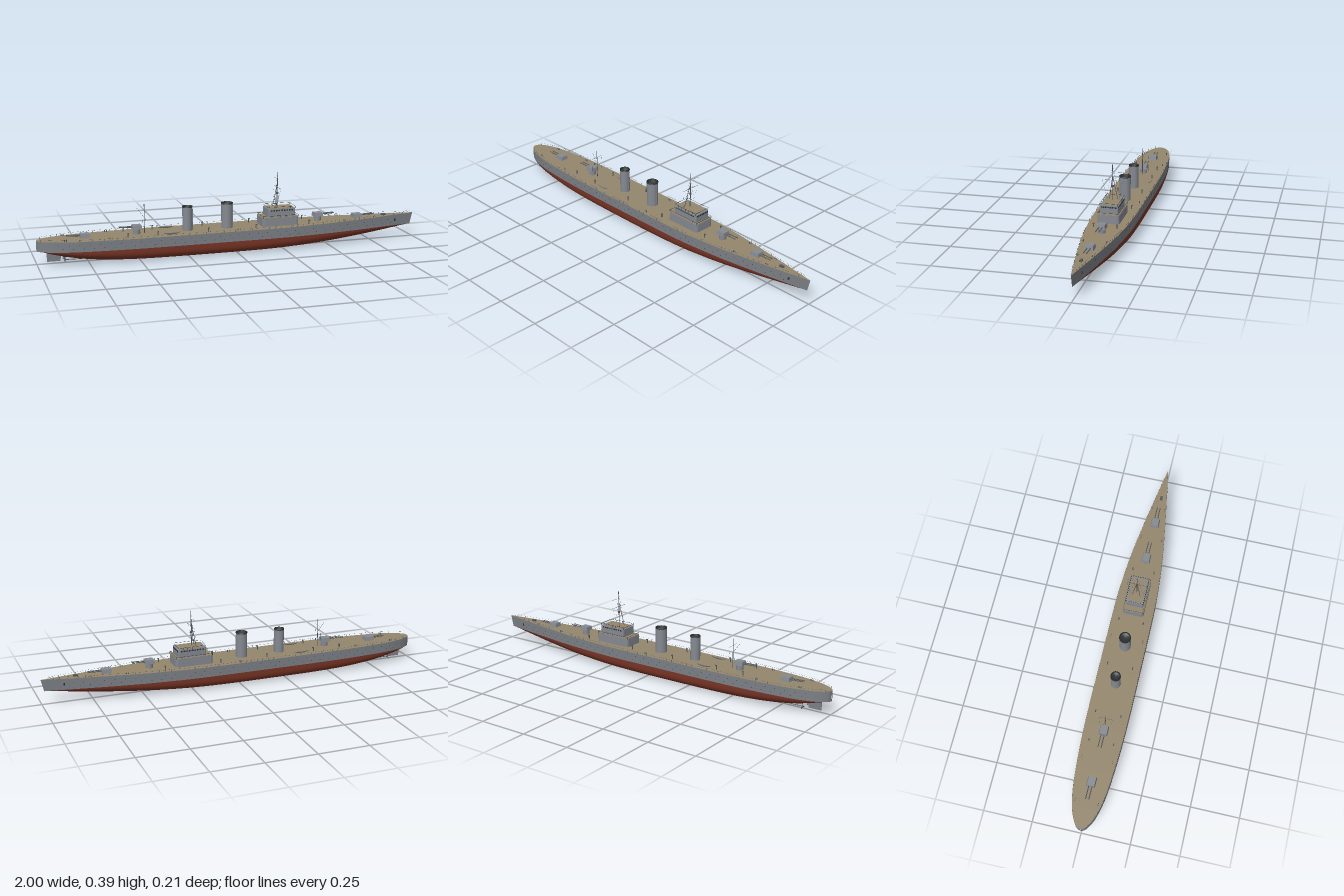
import * as THREE from 'three';
import { mergeGeometries } from 'three/addons/utils/BufferGeometryUtils.js';

const mat = (name, color, side = THREE.FrontSide) => {
  const m = new THREE.MeshStandardMaterial({ color, side });
  m.name = name;
  return m;
};

export function createModel() {
  const ship = new THREE.Group();
  ship.name = 'warship';
  const hullGrey = mat('hull grey', 0x7b7f85);
  const upperGrey = mat('superstructure grey', 0x858a91);
  const red = mat('bottom red', 0x7a3526);
  const tan = mat('deck tan', 0x94866c);
  const dark = mat('dark metal', 0x2c3031);
  const steel = mat('fittings grey', 0x555a60);

  const add = (name, geo, m, x = 0, y = 0, z = 0, parent = ship) => {
    const mesh = new THREE.Mesh(geo, m);
    mesh.name = name;
    mesh.position.set(x, y, z);
    parent.add(mesh);
    return mesh;
  };

  // Hull lines: half breadth, deck height and keel height along the length
  const outline = new THREE.SplineCurve([
    [-1, 0.001], [-0.992, 0.02], [-0.965, 0.04], [-0.91, 0.063], [-0.8, 0.085], [-0.6, 0.1],
    [-0.4, 0.105], [-0.1, 0.105], [0.15, 0.104], [0.3, 0.099], [0.5, 0.081], [0.7, 0.052],
    [0.85, 0.027], [1, 0.001],
  ].map(([x, w]) => new THREE.Vector2(x, w))).getPoints(130);
  const half = (x) => {
    const i = Math.max(1, outline.findIndex((p) => p.x >= x));
    const a = outline[i - 1], b = outline[i];
    return a.y + (b.y - a.y) * (x - a.x) / (b.x - a.x);
  };
  const WATER = 0.07;
  const deckY = (x) => 0.121 + 0.008 * Math.max(0, x) ** 2;
  const keelY = (x) => Math.min(WATER - 0.001, 0.002 + 0.068 * (x < -0.2
    ? ((-x - 0.2) / 0.78) ** 4 : Math.max(0, (x - 0.1) / 0.89) ** 2));
  const rake = (x, y) => x - 0.012 * Math.max(0, x) ** 4 * (deckY(x) - y) / 0.05;

  // Skins a run of cross-sections, each ordered so the surface faces outward
  const loft = (section) => {
    const pos = [], idx = [];
    let n = 0;
    outline.forEach((p, i) => {
      const ring = section(p.x, p.y);
      n = ring.length;
      ring.forEach(([y, z]) => pos.push(rake(p.x, y), y, z));
      if (i === 0) return;
      for (let j = 0; j < n - 1; j++) {
        const a = (i - 1) * n + j, b = a + n;
        idx.push(a, a + 1, b, b, a + 1, b + 1);
      }
    });
    const g = new THREE.BufferGeometry();
    g.setAttribute('position', new THREE.Float32BufferAttribute(pos, 3));
    g.setIndex(idx);
    g.computeVertexNormals();
    return g;
  };
  add('hullSideLeft', loft((x, w) => [[deckY(x), w], [WATER, w]]), hullGrey);
  add('hullSideRight', loft((x, w) => [[WATER, -w], [deckY(x), -w]]), hullGrey);
  add('mainDeck', loft((x, w) => [[deckY(x), -w], [deckY(x), w]]), tan);
  add('hullBottom', loft((x, w) => {
    const power = 2 / (x > 0 ? 3.4 - 1.9 * x : 3.4 - 1.4 * x * x);
    const k = keelY(x);
    return Array.from({ length: 25 }, (_, j) => {
      const a = Math.PI * j / 24;
      const c = Math.cos(a);
      return [WATER - (WATER - k) * Math.abs(Math.sin(a)) ** power, w * Math.sign(c) * Math.abs(c) ** power];
    });
  }), red);

  // Small shapes gathered into one mesh per kind
  const boxAt = (w, h, d, x, y, z) => new THREE.BoxGeometry(w, h, d).translate(x, y, z);
  const rod = (a, b, r, sides = 6) => {
    const p = new THREE.Vector3(...a), q = new THREE.Vector3(...b);
    const d = q.clone().sub(p);
    const turn = new THREE.Quaternion().setFromUnitVectors(new THREE.Vector3(0, 1, 0), d.clone().normalize());
    return new THREE.CylinderGeometry(r, r, d.length(), sides).applyQuaternion(turn)
      .translate(...p.add(q).multiplyScalar(0.5).toArray());
  };

  // Railings, portholes and anchors on both sides
  const rails = [], ports = [];
  for (const s of [1, -1]) {
    for (let x = -0.98; x < 0.97; x += 0.03) {
      const x2 = Math.min(x + 0.03, 0.98);
      const z = s * (half(x) - 0.001), z2 = s * (half(x2) - 0.001);
      rails.push(rod([x, deckY(x), z], [x, deckY(x) + 0.009, z], 0.0005, 4));
      rails.push(rod([x, deckY(x) + 0.009, z], [x2, deckY(x2) + 0.009, z2], 0.0003, 3));
    }
    for (let x = -0.9; x < 0.9; x += 0.05) {
      for (const [y, dx] of [[0.104, 0], [0.086, 0.02]]) {
        const px = x + dx;
        ports.push(new THREE.CylinderGeometry(0.0017, 0.0017, 0.002, 8).rotateX(Math.PI / 2)
          .translate(rake(px, y), y, s * half(px)));
      }
    }
    ports.push(boxAt(0.007, 0.012, 0.005, 0.89, 0.1, s * half(0.895)));
  }
  add('railings', mergeGeometries(rails), steel);
  add('portholesAndAnchors', mergeGeometries(ports), dark);

  // Rounded deckhouse block
  const block = (w, d, h, r) => {
    const s = new THREE.Shape(), a = w / 2, b = d / 2;
    s.moveTo(-a + r, -b).lineTo(a - r, -b).quadraticCurveTo(a, -b, a, -b + r);
    s.lineTo(a, b - r).quadraticCurveTo(a, b, a - r, b).lineTo(-a + r, b);
    s.quadraticCurveTo(-a, b, -a, b - r).lineTo(-a, -b + r).quadraticCurveTo(-a, -b, -a + r, -b);
    return new THREE.ExtrudeGeometry(s, { depth: h, bevelEnabled: false, curveSegments: 5 }).rotateX(-Math.PI / 2);
  };
  const bridge = new THREE.Group();
  bridge.name = 'bridge';
  ship.add(bridge);
  add('lowerHouse', block(0.195, 0.11, 0.045, 0.015), upperGrey, 0.237, 0.12, 0, bridge);
  add('lowerRoof', block(0.191, 0.106, 0.002, 0.014), tan, 0.237, 0.165, 0, bridge);
  add('upperHouse', block(0.146, 0.092, 0.043, 0.008), upperGrey, 0.245, 0.165, 0, bridge);
  add('upperRoof', block(0.126, 0.076, 0.002, 0.006), tan, 0.245, 0.208, 0, bridge);
  const panes = [];
  for (let i = -4; i <= 4; i++) {
    panes.push(boxAt(0.002, 0.007, 0.006, 0.318, 0.2, i * 0.0088));
    for (const s of [1, -1]) panes.push(boxAt(0.008, 0.007, 0.002, 0.245 + i * 0.014, 0.2, s * 0.046));
  }
  add('bridgeWindows', mergeGeometries(panes), dark, 0, 0, 0, bridge);
  const bars = [];
  for (const [w, d, y, cx] of [[0.144, 0.09, 0.218, 0.245], [0.19, 0.104, 0.174, 0.237]]) {
    for (const s of [1, -1]) {
      bars.push(boxAt(w, 0.001, 0.001, cx, y, s * d / 2), boxAt(0.001, 0.001, d, cx + s * w / 2, y, 0));
      for (let i = -3; i <= 3; i++) bars.push(boxAt(0.001, 0.01, 0.001, cx + i * w / 6, y - 0.005, s * d / 2));
    }
  }
  add('bridgeRails', mergeGeometries(bars), dark, 0, 0, 0, bridge);

  // Funnels with dark open tops
  for (const [name, x, r, top] of [['rearFunnel', -0.243, 0.025, 0.245], ['frontFunnel', -0.035, 0.029, 0.25]]) {
    const f = new THREE.Group();
    f.name = name;
    f.position.x = x;
    ship.add(f);
    const wall = [[r, 0.118], [r, top - 0.006]].map((p) => new THREE.Vector2(...p));
    const cap = [[r, top - 0.006], [r + 0.001, top - 0.005], [r + 0.001, top], [r - 0.003, top], [r - 0.003, top - 0.015], [0, top - 0.015]]
      .map((p) => new THREE.Vector2(...p));
    add('funnelWall', new THREE.LatheGeometry(wall, 32), upperGrey, 0, 0, 0, f);
    add('funnelCap', new THREE.LatheGeometry(cap, 32), dark, 0, 0, 0, f);
    add('steamPipe', rod([r + 0.002, 0.12, 0], [r + 0.002, top - 0.01, 0], 0.002), upperGrey, 0, 0, 0, f);
  }

  // Twin gun turrets, the inner pair raised
  for (const [name, x, dir, base] of [['foreTurret', 0.677, 1, 0.126], ['foreRaisedTurret', 0.457, 1, 0.146],
    ['aftRaisedTurret', -0.503, -1, 0.146], ['aftTurret', -0.763, -1, 0.122]]) {
    const t = new THREE.Group();
    t.name = name;
    t.position.set(x, base, 0);
    t.rotation.y = dir > 0 ? 0 : Math.PI;
    ship.add(t);
    add('barbette', new THREE.CylinderGeometry(0.018, 0.018, base - 0.116, 20), upperGrey, 0, (0.116 - base) / 2, 0, t);
    const house = new THREE.BoxGeometry(0.05, 0.02, 0.044);
    const p = house.attributes.position;
    for (let i = 0; i < p.count; i++) {
      if (p.getY(i) > 0) p.setXYZ(i, p.getX(i) * 0.88, p.getY(i), p.getZ(i) * 0.85);
    }
    house.computeVertexNormals();
    add('gunHouse', house, upperGrey, 0, 0.01, 0, t);
    add('gunBarrels', mergeGeometries([1, -1].map((s) => rod([0.02, 0.011, s * 0.008], [0.09, 0.013, s * 0.008], 0.0023, 8))), steel, 0, 0, 0, t);
  }

  // Tripod foremast, light mainmast and their rigging
  add('foremast', mergeGeometries([
    rod([0.233, 0.2, 0], [0.236, 0.392, 0], 0.0018),
    rod([0.215, 0.2, 0.022], [0.234, 0.33, 0.001], 0.0015),
    rod([0.215, 0.2, -0.022], [0.234, 0.33, -0.001], 0.0015),
    rod([0.235, 0.312, -0.053], [0.235, 0.312, 0.053], 0.0008),
    rod([0.235, 0.355, -0.053], [0.235, 0.355, -0.02], 0.0008),
    new THREE.CylinderGeometry(0.006, 0.005, 0.008, 10).translate(0.235, 0.282, 0),
  ]), steel);
  add('mainmast', mergeGeometries([
    rod([-0.463, 0.12, 0], [-0.463, 0.27, 0], 0.0016),
    rod([-0.463, 0.235, -0.035], [-0.463, 0.235, 0.035], 0.0007),
    rod([-0.463, 0.2, 0], [-0.5, 0.25, 0], 0.0006),
  ]), steel);
  add('rigging', mergeGeometries([1, -1].flatMap((s) => [
    rod([0.235, 0.312, s * 0.053], [0.22, 0.21, s * 0.03], 0.0003, 3),
    rod([0.235, 0.385, 0], [0.23, 0.21, s * 0.035], 0.0003, 3),
    rod([-0.463, 0.235, s * 0.035], [-0.47, 0.125, s * 0.03], 0.0003, 3),
  ])), steel);

  // Ship's boats
  for (const s of [1, -1]) {
    const boat = add(s > 0 ? 'leftBoat' : 'rightBoat',
      new THREE.SphereGeometry(1, 20, 8, 0, Math.PI * 2, Math.PI / 2, Math.PI / 2), upperGrey, -0.34, 0.132, s * 0.067);
    boat.scale.set(0.041, 0.01, 0.0095);
    const cover = add('boatCover', new THREE.CircleGeometry(1, 20).rotateX(-Math.PI / 2), tan, -0.34, 0.1321, s * 0.067);
    cover.scale.set(0.036, 1, 0.0075);
  }

  // Ventilators, bollards and windlass
  const fittings = [boxAt(0.022, 0.01, 0.012, 0.83, 0.13, 0)];
  for (const s of [1, -1]) {
    for (const x of [-0.56, -0.41, -0.15, 0.1, 0.39]) {
      const z = s * half(x) * 0.62;
      fittings.push(rod([x, 0.118, z], [x, 0.139, z], 0.0028, 8), boxAt(0.007, 0.005, 0.006, x + 0.002, 0.14, z));
    }
    for (const x of [-0.87, -0.65, 0.0, 0.58, 0.76]) {
      for (const dx of [0, 0.01]) fittings.push(rod([x + dx, 0.118, s * half(x) * 0.8], [x + dx, 0.131, s * half(x) * 0.8], 0.002, 8));
    }
  }
  add('deckFittings', mergeGeometries(fittings), steel);

  // Rudder, shafts and propellers
  const blade = new THREE.Shape([[-0.952, 0.068], [-0.95, 0.012], [-0.885, 0.012], [-0.88, 0.055]].map((p) => new THREE.Vector2(...p)));
  add('rudder', new THREE.ExtrudeGeometry(blade, { depth: 0.005, bevelEnabled: false }), hullGrey, 0, 0, -0.0025);
  for (const s of [1, -1]) {
    const z = s * 0.03;
    const parts = [rod([-0.87, 0.024, z], [-0.68, 0.024, z], 0.002, 8)];
    for (let i = 0; i < 3; i++) {
      parts.push(new THREE.BoxGeometry(0.002, 0.013, 0.007).rotateY(0.5).translate(0, 0.0075, 0)
        .rotateX(i * Math.PI * 2 / 3).translate(-0.868, 0.024, z));
    }
    add(s > 0 ? 'leftPropeller' : 'rightPropeller', mergeGeometries(parts), steel);
  }
  return ship;
}
